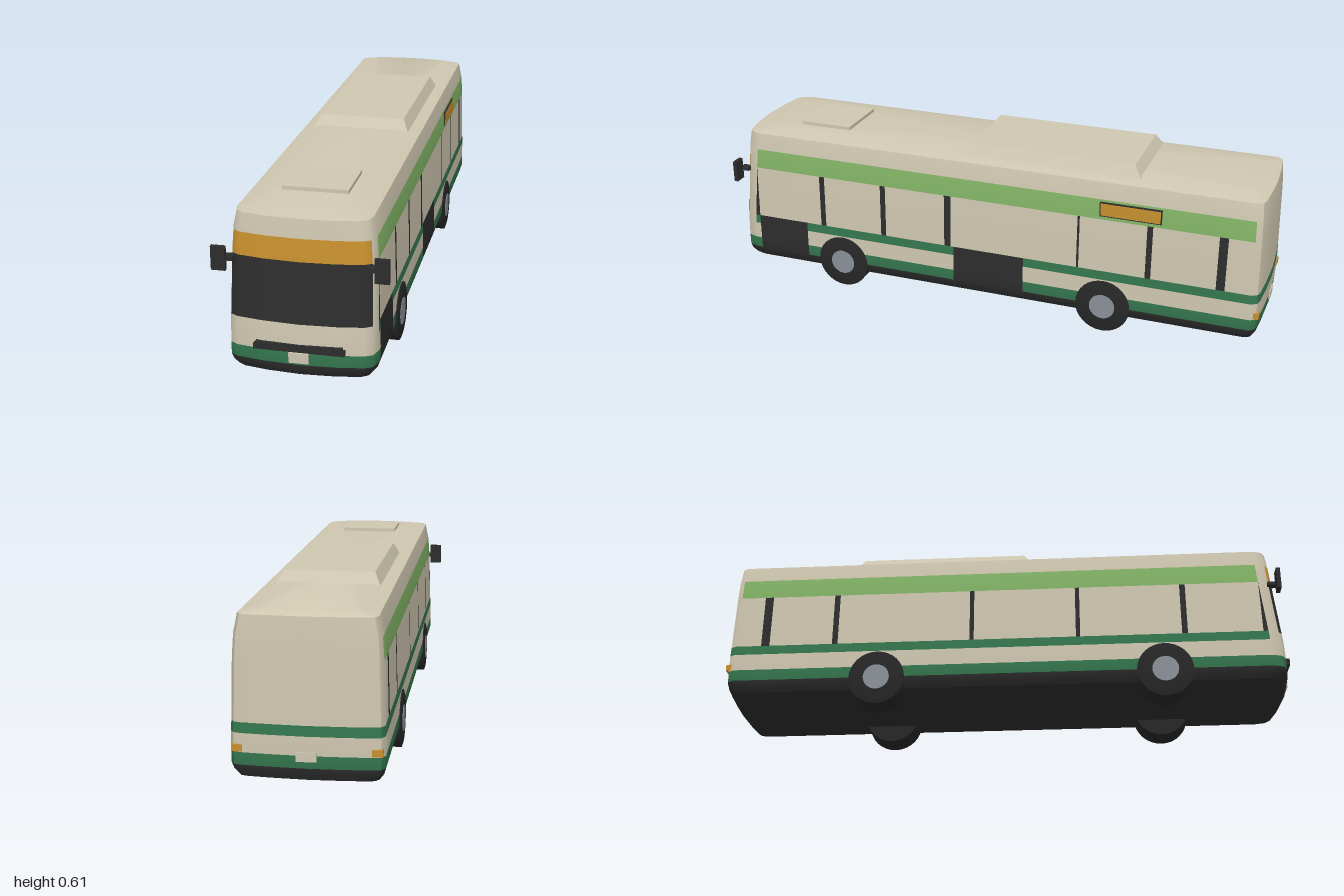
import * as THREE from 'three';
import { toCreasedNormals } from 'three/addons/utils/BufferGeometryUtils.js';

const mat = (name, color) => {
  const m = new THREE.MeshStandardMaterial({ color });
  m.name = name;
  return m;
};

export function createModel() {
  const bus = new THREE.Group();
  bus.name = 'bus';

  const cream = mat('cream', 0xcfc7b0);
  const black = mat('black', 0x2d2d2d);
  const darkGreen = mat('darkGreen', 0x35784f);
  const lightGreen = mat('lightGreen', 0x83b466);
  const orange = mat('orange', 0xc8902e);
  const tyreBlack = mat('tyreBlack', 0x272727);
  const hubGrey = mat('hubGrey', 0x8b9098);
  const CREAM = 0, BLACK = 1, DARK = 2, LIGHT = 3, ORANGE = 4;
  const paints = [cream, black, darkGreen, lightGreen, orange];

  const add = (name, geometry, material, parent = bus) => {
    const mesh = new THREE.Mesh(geometry, material);
    mesh.name = name;
    parent.add(mesh);
    return mesh;
  };
  // box given by its two extreme corners
  const box = (name, material, x0, x1, y0, y1, z0, z1) => {
    const g = new THREE.BoxGeometry(x1 - x0, y1 - y0, z1 - z0);
    g.translate((x0 + x1) / 2, (y0 + y1) / 2, (z0 + z1) / 2);
    return add(name, g, material);
  };

  // body levels: height, half width, front z, rear z
  const levels = [
    [0.06, 0.215, 0.975, -0.98],
    [0.08, 0.228, 0.987, -0.99],
    [0.10, 0.234, 0.992, -0.995],
    [0.14, 0.234, 0.992, -0.997],
    [0.20, 0.233, 0.99, -0.997],
    [0.233, 0.232, 0.987, -0.996],
    [0.428, 0.227, 0.968, -0.992],
    [0.50, 0.222, 0.962, -0.99],
    [0.56, 0.21, 0.955, -0.985],
    [0.575, 0.15, 0.87, -0.95],
  ];
  // bowed ends: fraction of half width, setback from the end
  const nose = [[0, 0], [0.5, 0.007], [0.85, 0.02], [0.95, 0.034], [1, 0.07]];
  const tail = [[1, 0.035], [0.95, 0.016], [0.85, 0.01], [0.5, 0.004], [0, 0]];
  // places along the sides where the paint changes
  const breaks = [0.90, 0.70, 0.64, 0.62, 0.395, 0.375, 0.265, 0.25, 0.145, 0.12, 0.11,
    -0.11, -0.125, -0.155, -0.35, -0.358, -0.595, -0.615, -0.84, -0.87];
  const pillars = {
    1: [0.63, 0.385, 0.1325, -0.354, -0.605, -0.855],
    [-1]: [0.63, 0.2575, -0.1175, -0.605, -0.855],
  };

  // one half of the plan outline, front centre to rear centre
  const halfOutline = ([, w, zf, zr]) => [
    ...nose.map(([f, d]) => [f * w, zf - d]),
    ...breaks.map(z => [w, Math.min(z, zf - 0.07)]),
    ...tail.map(([f, d]) => [f * w, zr + d]),
  ];
  const n = nose.length + breaks.length + tail.length;

  // paint of one body panel
  const paint = (level, seg, side) => {
    if (level < 2) return BLACK;
    if (level > 6) return CREAM;
    const front = seg < 3, corner = seg === 3;
    const rear = seg >= n - tail.length;
    if (level === 2 && (front || corner || rear)) return DARK;
    if (front) return level === 5 ? BLACK : level === 6 ? ORANGE : CREAM;
    if (corner) return CREAM;
    if (rear) return level === 4 ? DARK : CREAM;
    if (level === 6) return LIGHT;
    const i = seg - nose.length;
    const z0 = i < 0 ? 0.92 : breaks[i];
    const z1 = i + 1 < breaks.length ? breaks[i + 1] : -0.96;
    const mid = (z0 + z1) / 2;
    if (level === 5) {
      const isPillar = pillars[side].some(p => Math.abs(p - mid) < 0.004);
      return i < 0 || isPillar ? BLACK : CREAM;
    }
    const isDoor = side > 0 && ((mid < 0.9 && mid > 0.7) || (mid < 0.11 && mid > -0.155));
    if (isDoor) return BLACK;
    return level === 3 ? CREAM : DARK;
  };

  // body shell, lofted through the levels
  const positions = [];
  levels.forEach(level => {
    const half = halfOutline(level);
    for (const s of [1, -1]) half.forEach(([x, z]) => positions.push(s * x, level[0], z));
  });
  const faces = paints.map(() => []);
  const at = (l, side, k) => l * 2 * n + (side > 0 ? 0 : n) + k;
  const tri = (list, side, a, b, c) => (side > 0 ? list.push(a, b, c) : list.push(a, c, b));
  const top = levels.length - 1;
  const floorCentre = positions.length / 3;
  positions.push(0, levels[0][0], 0, 0, levels[top][0], 0);
  for (const side of [1, -1]) {
    for (let k = 0; k < n - 1; k++) {
      for (let l = 0; l < top; l++) {
        const list = faces[paint(l, k, side)];
        const a = at(l, side, k), b = at(l, side, k + 1);
        const c = at(l + 1, side, k + 1), d = at(l + 1, side, k);
        tri(list, side, a, b, c);
        tri(list, side, a, c, d);
      }
      tri(faces[BLACK], side, floorCentre, at(0, side, k + 1), at(0, side, k));
      tri(faces[CREAM], side, floorCentre + 1, at(top, side, k), at(top, side, k + 1));
    }
  }
  const shell = new THREE.BufferGeometry();
  shell.setAttribute('position', new THREE.Float32BufferAttribute(positions, 3));
  shell.setIndex(faces.flat());
  let start = 0;
  faces.forEach((list, i) => {
    shell.addGroup(start, list.length, i);
    start += list.length;
  });
  add('body', toCreasedNormals(shell, 0.75), paints);

  // roof unit with sloped sides
  const unit = new THREE.BoxGeometry(0.34, 0.04, 0.645);
  const p = unit.attributes.position;
  for (let i = 0; i < p.count; i++) {
    if (p.getY(i) > 0) {
      p.setX(i, Math.sign(p.getX(i)) * 0.15);
      p.setZ(i, Math.sign(p.getZ(i)) * 0.295);
    }
  }
  unit.computeVertexNormals();
  unit.translate(0, 0.59, -0.23);
  add('roofUnit', unit, cream);
  box('roofHatch', cream, -0.105, 0.105, 0.57, 0.587, 0.567, 0.76);

  // nose and tail details
  box('grilleLower', black, -0.142, 0.142, 0.143, 0.16, 0.98, 0.995);
  box('grilleUpper', black, -0.135, 0.135, 0.16, 0.168, 0.98, 0.995);
  box('frontPlate', cream, -0.031, 0.031, 0.108, 0.141, 0.988, 0.998);
  box('rearPlate', cream, -0.031, 0.031, 0.122, 0.152, -1, -0.99);
  for (const s of [1, -1]) {
    const x0 = s > 0 ? 0.195 : -0.228;
    box('tailLight', orange, x0, x0 + 0.033, 0.143, 0.165, -0.99, -0.965);
  }

  // side destination sign
  box('signFrame', black, 0.215, 0.229, 0.44, 0.492, -0.643, -0.427);
  box('signPanel', orange, 0.22, 0.231, 0.444, 0.488, -0.639, -0.431);

  // mirrors
  for (const s of [1, -1]) {
    const x0 = s > 0 ? 0.228 : -0.273;
    box('mirror', black, x0, x0 + 0.045, 0.381, 0.458, 0.957, 0.971);
    const a0 = s > 0 ? 0.205 : -0.235;
    box('mirrorArm', black, a0, a0 + 0.03, 0.412, 0.424, 0.93, 0.965);
  }

  // wheels
  const tyreProfile = [[0, 0.14], [0.097, 0.14], [0.098, 0.236], [0.085, 0.24], [0, 0.24]]
    .map(([r, y]) => new THREE.Vector2(r, y));
  const tyre = toCreasedNormals(new THREE.LatheGeometry(tyreProfile, 32), 0.5);
  const hub = new THREE.CylinderGeometry(0.046, 0.046, 0.006, 24);
  hub.translate(0, 0.239, 0);
  for (const z of [0.555, -0.45]) {
    for (const s of [1, -1]) {
      const wheel = new THREE.Group();
      wheel.name = 'wheel';
      add('tyre', tyre, tyreBlack, wheel);
      add('hub', hub, hubGrey, wheel);
      wheel.rotation.z = -s * Math.PI / 2;
      wheel.position.set(0, 0.098, z);
      bus.add(wheel);
    }
  }
  return bus;
}
